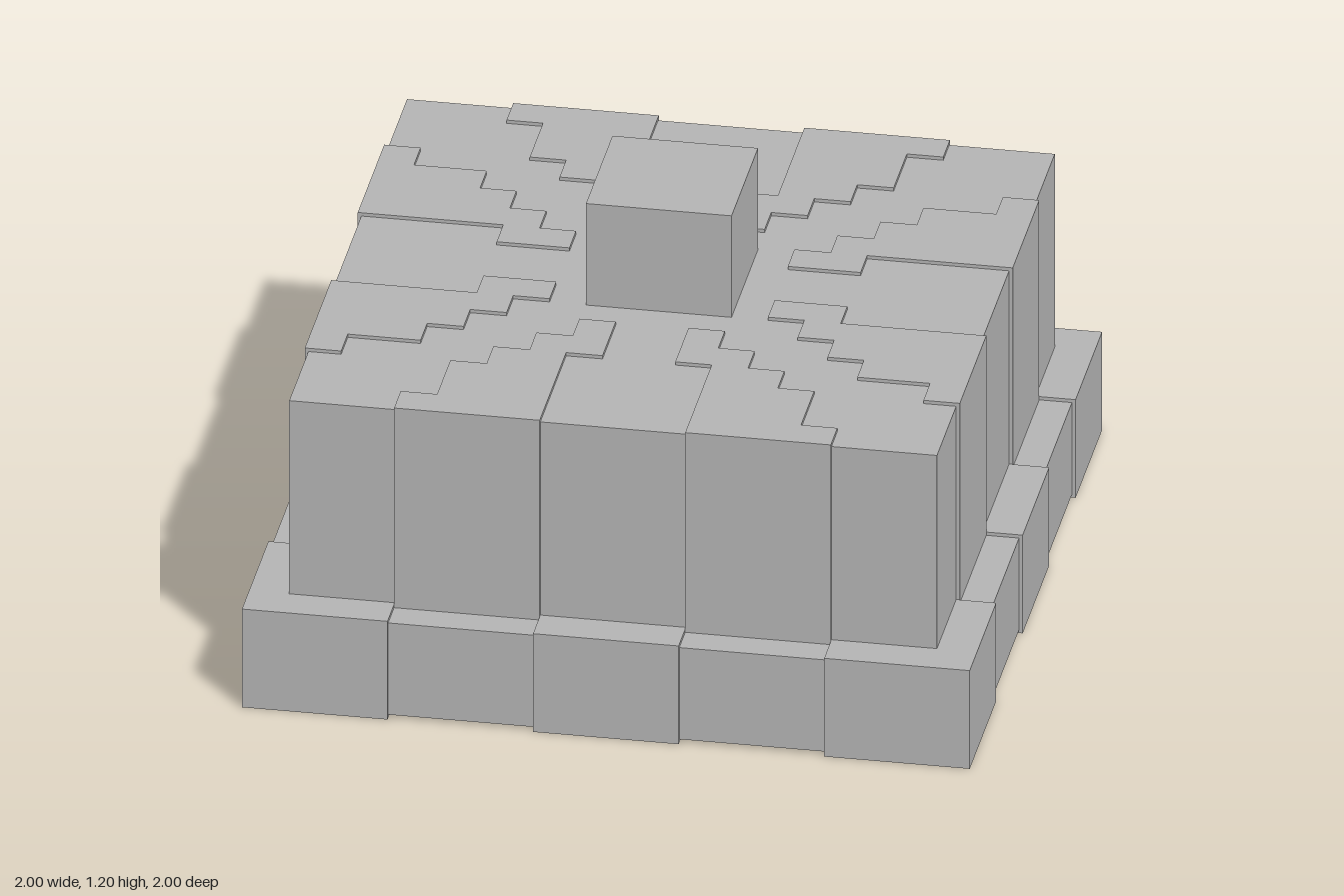
import * as THREE from 'three';

const stone = new THREE.MeshStandardMaterial({ color: 0xb3b3b3 });
stone.name = 'grey stone';

const toShape = (pts) => new THREE.Shape(pts.map(([x, y]) => new THREE.Vector2(x, y)));
const square = (h) => [[-h, -h], [h, -h], [h, h], [-h, h]];

// Floor plan extruded upwards from y0 to y1
function slab(name, shape, y0, y1) {
  const geo = new THREE.ExtrudeGeometry(shape, { depth: y1 - y0, bevelEnabled: false });
  geo.rotateX(-Math.PI / 2).translate(0, y0, 0);
  const mesh = new THREE.Mesh(geo, stone);
  mesh.name = name;
  return mesh;
}

// Rectangular block given by its ranges
function block(name, x0, x1, y0, y1, z0, z1) {
  const geo = new THREE.BoxGeometry(x1 - x0, y1 - y0, z1 - z0);
  geo.translate((x0 + x1) / 2, (y0 + y1) / 2, (z0 + z1) / 2);
  const mesh = new THREE.Mesh(geo, stone);
  mesh.name = name;
  return mesh;
}

export function createModel() {
  const model = new THREE.Group();
  model.name = 'steppedBlock';

  // Hollow body: walls, roof and the cube on top
  const wallPlan = toShape(square(0.89));
  wallPlan.holes.push(new THREE.Path(square(0.8).map(([x, y]) => new THREE.Vector2(x, y))));
  model.add(slab('bodyWalls', wallPlan, 0.29, 0.7));
  model.add(block('roof', -0.89, 0.89, 0.7, 0.89, -0.89, 0.89));
  model.add(block('topCube', -0.2, 0.2, 0.89, 1.2, -0.2, 0.2));

  // Plans of the base corner and of the stepped roof plate
  const corner = [[0.6, 0.8], [0.8, 0.8], [0.8, 0.6], [1, 0.6], [1, 1], [0.6, 1]];
  const plate = [
    [0.2, 0.9], [0.6, 0.9], [0.6, 0.8], [0.5, 0.8], [0.5, 0.6], [0.4, 0.6], [0.4, 0.5],
    [0.3, 0.5], [0.3, 0.4], [0.2, 0.4], [0.2, 0.3], [0.1, 0.3], [0.1, 0.5], [0.2, 0.5],
  ];

  // The same side, repeated around the centre
  for (let i = 0; i < 4; i++) {
    const side = new THREE.Group();
    side.name = 'side' + (i + 1);
    side.rotation.y = (i * Math.PI) / 2;

    side.add(slab('baseCorner', toShape(corner), 0, 0.3));
    side.add(block('baseMiddle', -0.2, 0.2, 0, 0.3, 0.8, 1));
    for (const s of [-1, 1]) {
      const x0 = s > 0 ? 0.2 : -0.6;
      side.add(block('baseRecess', x0, x0 + 0.4, 0.01, 0.29, 0.8, 0.99));
      side.add(block('wallPanel', x0, x0 + 0.4, 0.29, 0.89, 0.89, 0.9));
      side.add(slab('roofPlate', toShape(plate.map(([x, y]) => [s * x, -y])), 0.89, 0.9));
    }
    model.add(side);
  }
  return model;
}
